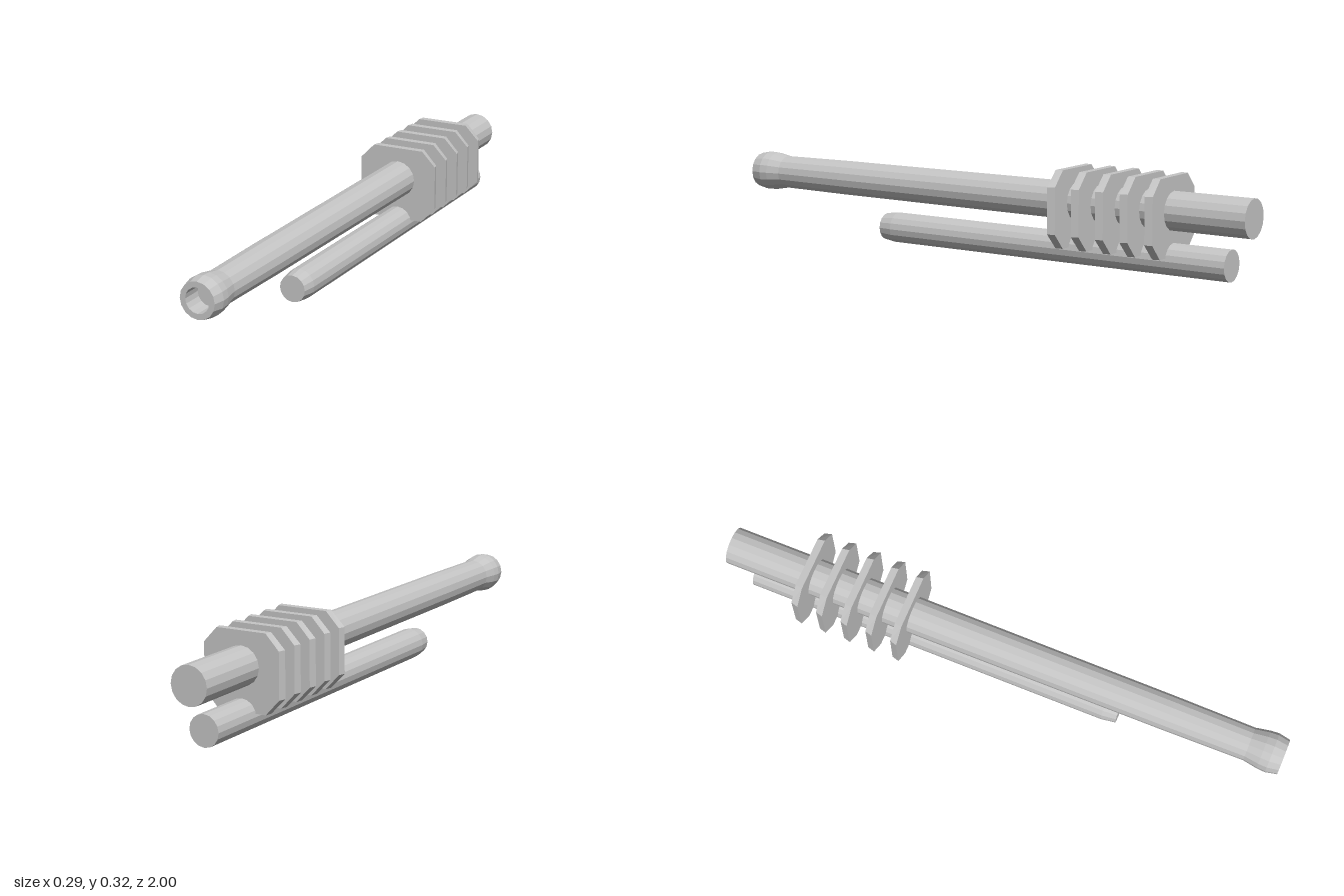
import * as THREE from 'three';

const grey = new THREE.MeshStandardMaterial({ color: 0xc5c5c5, flatShading: true });
grey.name = 'light grey metal';

// Solid of revolution along z from [radius, z] pairs, listed back to front
function turned(name, profile, y) {
  const points = profile.map(([r, z]) => new THREE.Vector2(r, z));
  const geometry = new THREE.LatheGeometry(points, 16).rotateX(Math.PI / 2);
  const mesh = new THREE.Mesh(geometry, grey);
  mesh.name = name;
  mesh.position.y = y;
  return mesh;
}

// Chamfered plate, slightly narrower at its back face
function finGeometry(depth) {
  const shape = new THREE.Shape([
    [-0.092, 0.063], [0.092, 0.063], [0.144, 0.116], [0.144, 0.271],
    [0.094, 0.322], [-0.094, 0.322], [-0.144, 0.271], [-0.144, 0.116],
  ].map(([x, y]) => new THREE.Vector2(x, y)));
  const geometry = new THREE.ExtrudeGeometry(shape, { depth, bevelEnabled: false });
  geometry.translate(0, 0, -depth / 2);
  const p = geometry.attributes.position;
  for (let i = 0; i < p.count; i++) {
    if (p.getZ(i) < 0) p.setX(i, p.getX(i) * 0.95);
  }
  geometry.computeVertexNormals();
  return geometry;
}

export function createModel() {
  const model = new THREE.Group();
  model.name = 'finnedBarrel';

  // Main barrel with flared muzzle and a blind bore
  model.add(turned('barrel', [
    [0, -1], [0.065, -1], [0.0645, -0.5], [0.061, 0.6], [0.058, 0.88],
    [0.067, 0.93], [0.069, 0.96], [0.061, 1], [0.042, 1], [0.042, 0.93], [0, 0.93],
  ], 0.21));

  // Lower tube with a tapered closed tip
  model.add(turned('lowerTube', [
    [0, -0.925], [0.053, -0.925], [0.053, 0.38], [0.046, 0.43], [0, 0.43],
  ], 0.053));

  // Row of cooling fins
  const fins = new THREE.Group();
  fins.name = 'coolingFins';
  const geometry = finGeometry(0.025);
  for (let i = 0; i < 5; i++) {
    const fin = new THREE.Mesh(geometry, grey);
    fin.name = 'fin' + (i + 1);
    fin.position.z = -0.341 - i * 0.0905;
    fins.add(fin);
  }
  model.add(fins);
  return model;
}
